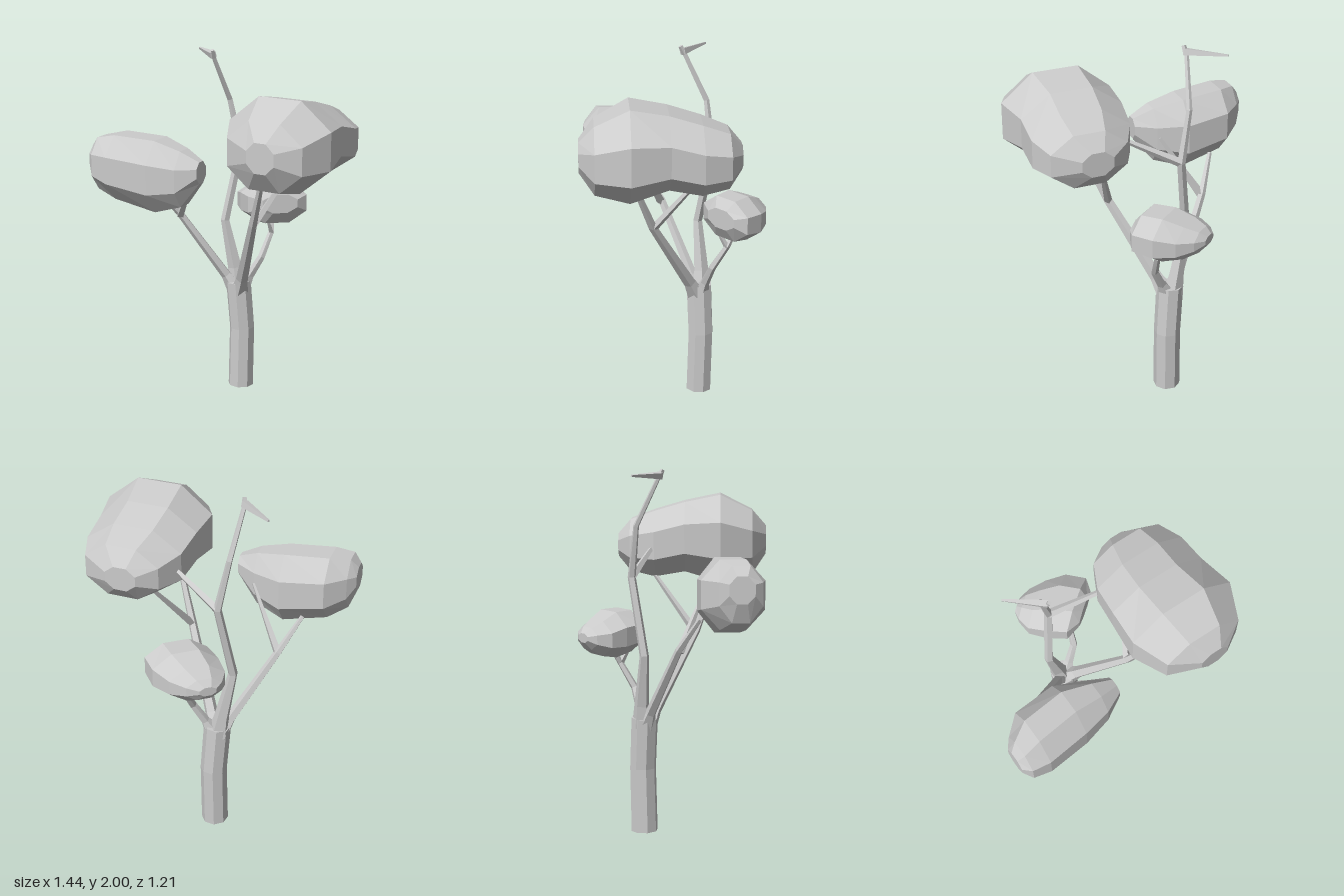
import * as THREE from 'three';

const material = new THREE.MeshStandardMaterial({ color: 0xcccccc, flatShading: true });

// Skins a list of equal-sized point rings and closes both ends.
function loft(name, rings) {
  const n = rings[0].length;
  const points = rings.flat();
  const index = [];
  for (let i = 0; i < rings.length - 1; i++) {
    for (let k = 0; k < n; k++) {
      const a = i * n + k, b = i * n + (k + 1) % n;
      index.push(a, a + n, b, b, a + n, b + n);
    }
  }
  const last = (rings.length - 1) * n;
  for (let k = 1; k < n - 1; k++) {
    index.push(0, k, k + 1, last, last + k + 1, last + k);
  }
  const geometry = new THREE.BufferGeometry().setFromPoints(points);
  geometry.setIndex(index);
  geometry.computeVertexNormals();
  const mesh = new THREE.Mesh(geometry, material);
  mesh.name = name;
  return mesh;
}

// Tapered limb through nodes [x, y, z, radius].
function limb(name, nodes, sides = 5) {
  const centres = nodes.map(([x, y, z]) => new THREE.Vector3(x, y, z));
  const up = new THREE.Vector3(0, 1, 0);
  const rings = nodes.map(([, , , r], i) => {
    const before = centres[Math.max(i - 1, 0)];
    const after = centres[Math.min(i + 1, centres.length - 1)];
    const tangent = after.clone().sub(before).normalize();
    const turn = new THREE.Quaternion().setFromUnitVectors(up, tangent);
    return Array.from({ length: sides }, (_, k) => {
      const a = (k + 0.5) / sides * Math.PI * 2;
      return new THREE.Vector3(r * Math.cos(a), 0, r * Math.sin(a)).applyQuaternion(turn).add(centres[i]);
    });
  });
  return loft(name, rings);
}

// Leaf mass along a horizontal axis (dx, dz); each section is
// [distance along axis, side min, side max, bottom, top].
function canopy(name, dx, dz, sections, sides = 8) {
  const grow = 1 / Math.cos(Math.PI / sides);
  const rings = sections.map(([s, t0, t1, y0, y1]) =>
    Array.from({ length: sides }, (_, k) => {
      const a = (k + 0.5) / sides * Math.PI * 2;
      const t = (t0 + t1) / 2 + (t1 - t0) / 2 * grow * Math.cos(a);
      const y = (y0 + y1) / 2 + (y1 - y0) / 2 * grow * Math.sin(a);
      return new THREE.Vector3(dx * s - dz * t, y, dz * s + dx * t);
    }));
  return loft(name, rings);
}

export function createModel() {
  const tree = new THREE.Group();
  tree.name = 'tree';

  // Trunk, slightly bent
  tree.add(limb('trunk', [
    [0.135, 0, -0.30, 0.074], [0.142, 0.36, -0.303, 0.073], [0.12, 0.645, -0.305, 0.074],
  ], 8));
  tree.getObjectByName('trunk').geometry.computeBoundingBox();

  // Branch to the right-hand canopy, with its side shoot
  tree.add(limb('rightBranch', [
    [0.10, 0.60, -0.31, 0.05], [0.05, 0.68, -0.315, 0.03], [-0.215, 1.06, -0.32, 0.021], [-0.36, 1.24, -0.29, 0.012],
  ]));
  tree.add(limb('rightShoot', [[-0.215, 1.05, -0.315, 0.024], [-0.15, 1.37, -0.09, 0.008]], 4));

  // Branch leaning forward into the large canopy
  tree.add(limb('frontBranch', [
    [0.125, 0.60, -0.28, 0.055], [0.13, 0.68, -0.225, 0.036], [0.145, 1.09, 0.07, 0.024], [0.17, 1.42, 0.25, 0.014],
  ]));
  tree.add(limb('frontShoot', [[0.145, 1.08, 0.065, 0.022], [0.43, 1.45, -0.06, 0.01]], 4));

  // Tall back stem with its bare tip
  tree.add(limb('backStem', [
    [0.12, 0.60, -0.32, 0.06], [0.105, 0.72, -0.335, 0.042], [0.05, 1.0, -0.355, 0.026],
    [0.14, 1.42, -0.37, 0.023], [0.08, 1.70, -0.38, 0.016], [-0.03, 1.975, -0.30, 0.012],
  ]));
  tree.add(limb('backShoot', [[0.14, 1.42, -0.37, 0.024], [0.32, 1.58, -0.08, 0.011]], 4));
  tree.add(limb('bareTwig', [[-0.025, 1.965, -0.295, 0.024], [-0.075, 1.97, -0.515, 0.007]], 4));
  tree.add(limb('bareKnot', [[-0.02, 1.95, -0.305, 0.015], [-0.03, 1.995, -0.285, 0.012]], 4));

  // Branch to the small canopy, forked at its end
  tree.add(limb('leftBranch', [
    [0.14, 0.60, -0.30, 0.05], [0.185, 0.68, -0.29, 0.026], [0.25, 0.79, -0.28, 0.021],
    [0.315, 0.925, -0.33, 0.017], [0.33, 1.06, -0.41, 0.012],
  ]));
  tree.add(limb('leftShoot', [[0.315, 0.92, -0.328, 0.017], [0.28, 1.03, -0.28, 0.008]], 4));

  // Large bean-shaped canopy
  tree.add(canopy('largeCanopy', 0.62, -0.78, [
    [-0.36, 0.34, 0.50, 1.50, 1.66], [-0.28, 0.18, 0.62, 1.39, 1.75], [-0.10, 0.09, 0.69, 1.35, 1.84],
    [0.10, 0.10, 0.65, 1.41, 1.80], [0.27, 0.12, 0.65, 1.38, 1.75], [0.41, 0.19, 0.60, 1.41, 1.70],
    [0.48, 0.29, 0.46, 1.49, 1.62],
  ]));

  // Medium canopy
  tree.add(canopy('mediumCanopy', 0.795, 0.605, [
    [-0.71, 0.13, 0.26, 1.35, 1.49], [-0.67, 0.08, 0.30, 1.25, 1.54], [-0.57, -0.01, 0.315, 1.20, 1.56],
    [-0.33, -0.03, 0.285, 1.15, 1.55], [-0.17, 0.04, 0.25, 1.20, 1.51], [-0.06, 0.10, 0.20, 1.34, 1.46],
  ]));

  // Small canopy
  tree.add(canopy('smallCanopy', 0, -1, [
    [0.24, 0.25, 0.45, 1.06, 1.17], [0.285, 0.17, 0.51, 0.99, 1.22], [0.40, 0.145, 0.50, 0.97, 1.22],
    [0.50, 0.14, 0.44, 0.99, 1.18], [0.57, 0.18, 0.37, 1.03, 1.15], [0.605, 0.22, 0.31, 1.07, 1.12],
  ]));

  return tree;
}
